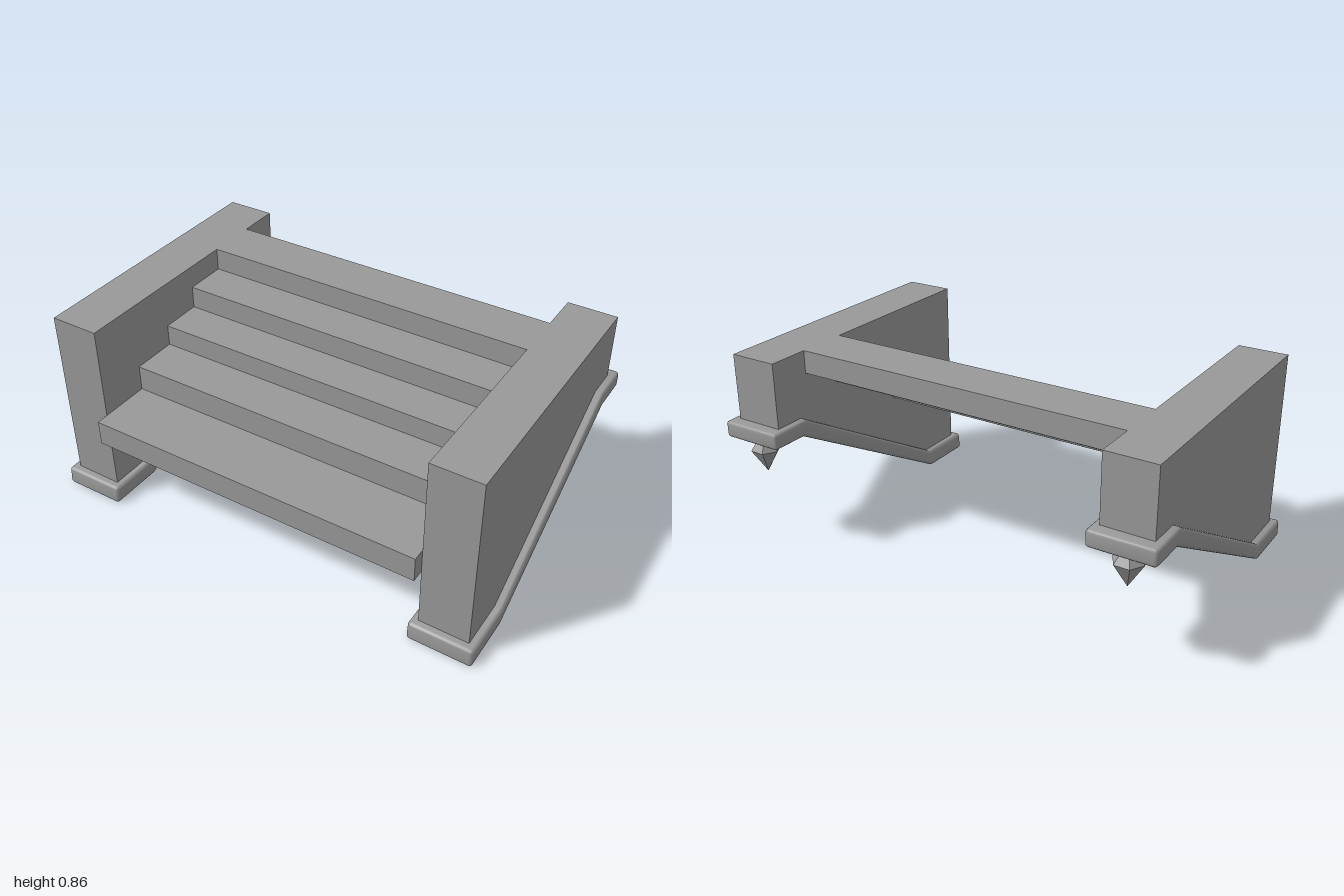
import * as THREE from 'three';
import { toCreasedNormals } from 'three/addons/utils/BufferGeometryUtils.js';

// Extrude a (z, y) outline across x, centred on x = 0
function extrudeAcross(shape, width, bevel = 0) {
  const geo = new THREE.ExtrudeGeometry(shape, {
    depth: width - 2 * bevel,
    bevelEnabled: bevel > 0,
    bevelThickness: bevel,
    bevelSize: bevel,
    bevelOffset: -bevel,
    bevelSegments: 3,
    curveSegments: 3,
  });
  geo.translate(0, 0, -(width - 2 * bevel) / 2);
  geo.rotateY(-Math.PI / 2);
  return geo;
}

export function createModel() {
  const model = new THREE.Group();
  model.name = 'staircase';
  const stone = new THREE.MeshStandardMaterial({ color: 0x999999 });
  stone.name = 'grey stone';

  const add = (parent, geometry, name, x = 0, y = 0, z = 0) => {
    const mesh = new THREE.Mesh(geometry, stone);
    mesh.name = name;
    mesh.position.set(x, y, z);
    parent.add(mesh);
  };

  // Steps: [front z, back z, bottom y, top y]
  const steps = [
    [0.66, 0.35, 0.34, 0.45],
    [0.38, 0.145, 0.45, 0.565],
    [0.175, -0.045, 0.565, 0.66],
    [-0.01, -0.24, 0.66, 0.76],
    [-0.2, -0.425, 0.76, 0.86],
  ];
  steps.forEach(([front, back, bottom, top], i) => {
    add(model, new THREE.BoxGeometry(1.5, top - bottom, front - back),
      `step${i + 1}`, 0, (top + bottom) / 2, (front + back) / 2);
  });

  // Side wall with a sloping underside
  const wallShape = new THREE.Shape([
    [0.605, 0.04], [0.605, 0.86], [-0.612, 0.86], [-0.612, 0.535], [-0.48, 0.535], [0.388, 0.04],
  ].map(([z, y]) => new THREE.Vector2(z, y)));
  const wallGeo = extrudeAcross(wallShape, 0.216);

  // Moulding that follows the underside, with softened ends
  const r = 0.014;
  const trim = new THREE.Shape();
  trim.moveTo(0.645 - r, 0);
  trim.quadraticCurveTo(0.645, 0, 0.645, r);
  trim.lineTo(0.64, 0.08 - r);
  trim.quadraticCurveTo(0.64, 0.08, 0.64 - r, 0.08);
  trim.lineTo(0.385, 0.08);
  trim.lineTo(-0.475, 0.572);
  trim.lineTo(-0.665 + r, 0.572);
  trim.quadraticCurveTo(-0.665, 0.572, -0.665, 0.572 - r);
  trim.lineTo(-0.665, 0.5 + r);
  trim.quadraticCurveTo(-0.665, 0.5, -0.665 + r, 0.5);
  trim.lineTo(-0.492, 0.5);
  trim.lineTo(0.395, 0);
  const trimGeo = toCreasedNormals(extrudeAcross(trim, 0.28, 0.014), 0.6);

  // Faceted pendant: short neck flaring to a point
  const pendantGeo = toCreasedNormals(new THREE.LatheGeometry([
    new THREE.Vector2(0, 0.345),
    new THREE.Vector2(0.064, 0.45),
    new THREE.Vector2(0.022, 0.51),
  ], 6, Math.PI / 2), 0.1);

  for (const [side, sign] of [['left', 1], ['right', -1]]) {
    const group = new THREE.Group();
    group.name = `${side}Side`;
    group.position.x = 0.858 * sign;
    add(group, wallGeo, `${side}Wall`);
    add(group, trimGeo, `${side}Trim`, 0.002 * sign);
    add(group, pendantGeo, `${side}Pendant`, 0, 0, -0.588);
    model.add(group);
  }
  return model;
}
